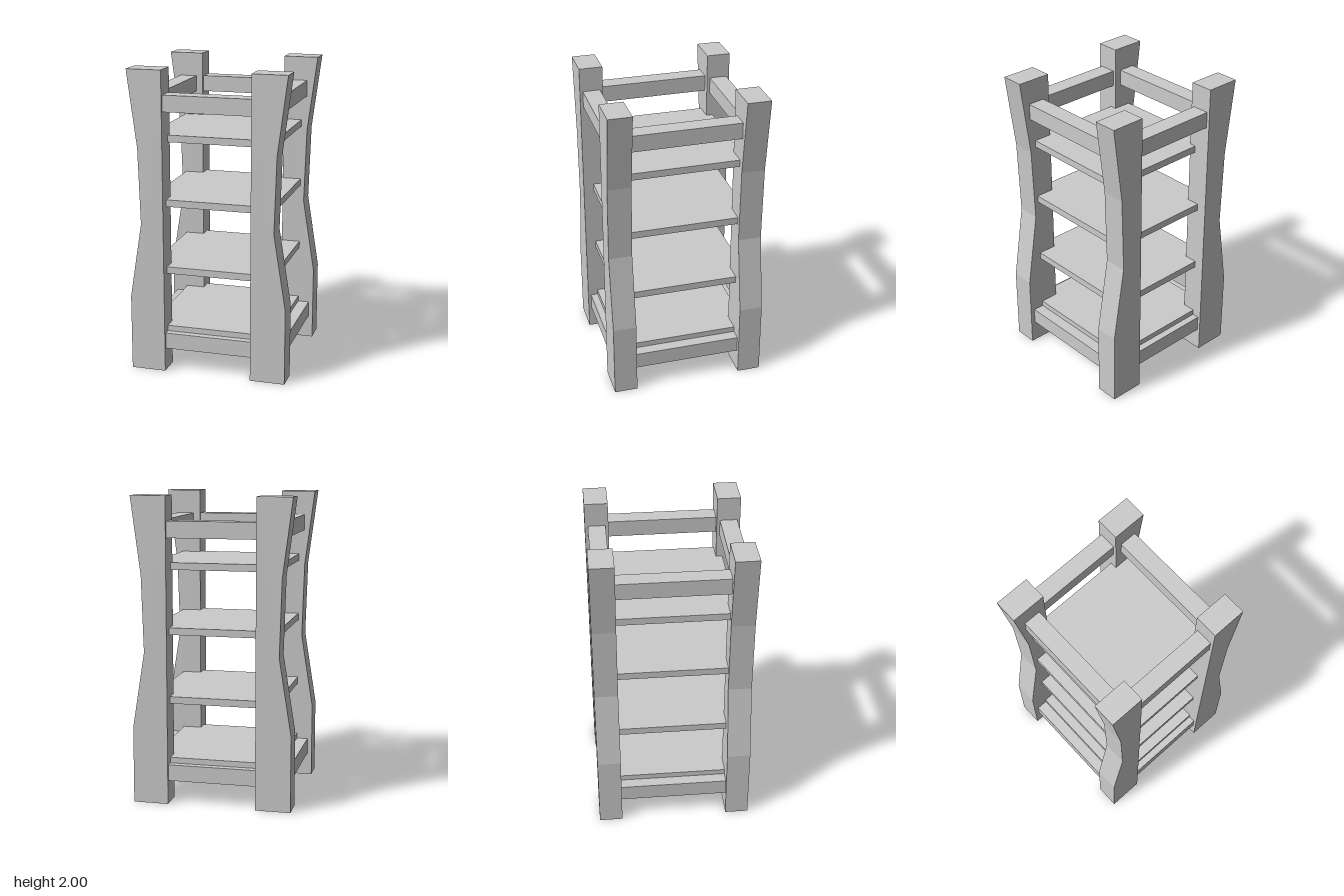
import * as THREE from 'three';

export function createModel() {
  const model = new THREE.Group();
  const material = new THREE.MeshStandardMaterial({ color: 0xcccccc, flatShading: true });

  const add = (name, geometry, x, y, z) => {
    const mesh = new THREE.Mesh(geometry, material);
    mesh.name = name;
    mesh.position.set(x, y, z);
    model.add(mesh);
  };

  // Legs: straight inner face, waisted outer face
  const legDepth = 0.154, legOuterZ = 0.51, legInnerX = 0.29;
  const outer = [[0.52, 0], [0.52, 0.5], [0.44, 1], [0.455, 1.5], [0.52, 2]];
  const legGeometry = (side) => {
    const points = [[legInnerX, 0], ...outer, [legInnerX, 2]];
    const shape = new THREE.Shape(points.map(([x, y]) => new THREE.Vector2(side * x, y)));
    return new THREE.ExtrudeGeometry(shape, { depth: legDepth, bevelEnabled: false });
  };
  for (const [sideName, side] of [['Left', 1], ['Right', -1]]) {
    add(`front${sideName}Leg`, legGeometry(side), 0, 0, legOuterZ - legDepth);
    add(`back${sideName}Leg`, legGeometry(side), 0, 0, -legOuterZ);
  }

  // Rails: a lower and an upper frame, ends let into the legs
  const railHeight = 0.107, railDepth = 0.114;
  for (const [level, y, sideX] of [['lower', 0.206, 0.433], ['upper', 1.788, 0.393]]) {
    const longRail = new THREE.BoxGeometry(0.62, railHeight, railDepth);
    const sideRail = new THREE.BoxGeometry(railDepth, railHeight, 0.74);
    add(`${level}FrontRail`, longRail, 0, y, 0.433);
    add(`${level}BackRail`, longRail, 0, y, -0.433);
    add(`${level}LeftRail`, sideRail, sideX, y, 0);
    add(`${level}RightRail`, sideRail, -sideX, y, 0);
  }

  // Shelves: the top one is a little shallower
  const shelfThickness = 0.046;
  [[0.297, 0.443], [0.704, 0.443], [1.156, 0.443], [1.571, 0.4]].forEach(([top, halfDepth], i) => {
    const geometry = new THREE.BoxGeometry(0.83, shelfThickness, halfDepth * 2);
    add(`shelf${i + 1}`, geometry, 0, top - shelfThickness / 2, 0);
  });

  return model;
}
